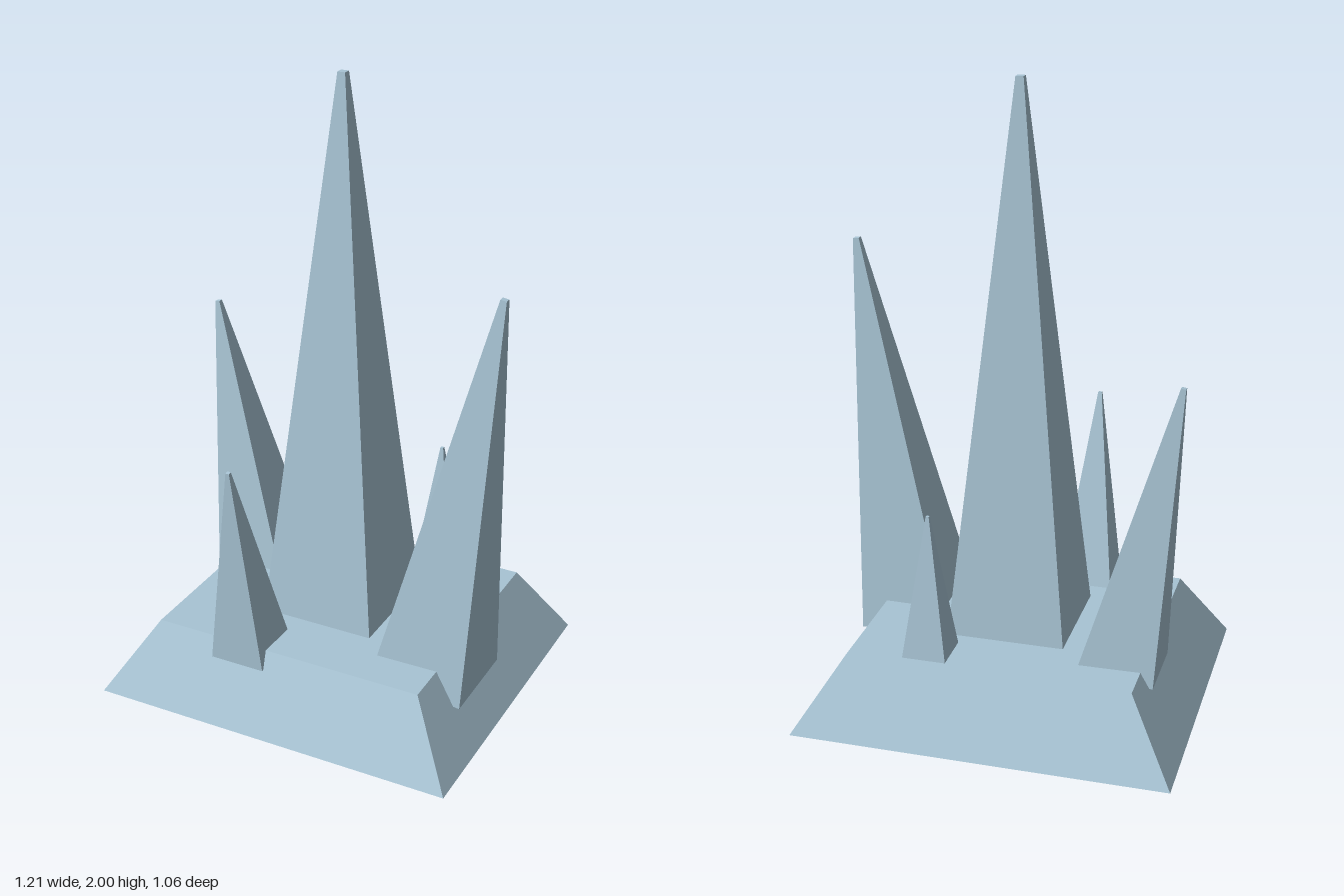
import * as THREE from 'three';

// Square frustum standing on y = 0, sides parallel to x and z, faceted normals
function frustum(topHalf, bottomHalf, height) {
  const g = new THREE.CylinderGeometry(topHalf * Math.SQRT2, bottomHalf * Math.SQRT2, height, 4)
    .rotateY(Math.PI / 4)
    .translate(0, height / 2, 0)
    .toNonIndexed();
  g.computeVertexNormals();
  return g;
}

export function createModel() {
  const group = new THREE.Group();
  const ice = new THREE.MeshStandardMaterial({ color: 0xa8c4d4 });
  ice.name = 'paleIce';

  const add = (name, geometry) => {
    const mesh = new THREE.Mesh(geometry, ice);
    mesh.name = name;
    group.add(mesh);
    return mesh;
  };

  // Sloped rectangular plinth
  add('base', frustum(0.753, 1, 0.24).scale(0.605, 1, 0.53));

  // Spikes: foot centre, tip centre, half width at foot and at tip
  const spikes = [
    ['mainSpike', [0, 0.2, 0], [0, 2, 0], 0.194, 0.0125],
    ['leftSpike', [0.389, 0.156, 0.12], [0.573, 1.441, 0.12], 0.152, 0.01],
    ['rightSpike', [-0.377, 0.211, -0.155], [-0.54, 1.136, -0.155], 0.121, 0.008],
    ['frontSpike', [-0.153, 0.2, 0.345], [-0.153, 0.872, 0.452], 0.091, 0.006],
    ['backSpike', [0.21, 0.2, -0.305], [0.21, 0.7, -0.305], 0.0755, 0.005],
  ];
  const up = new THREE.Vector3(0, 1, 0);
  for (const [name, foot, tip, footHalf, tipHalf] of spikes) {
    const start = new THREE.Vector3(...foot);
    const axis = new THREE.Vector3(...tip).sub(start);
    const spike = add(name, frustum(tipHalf, footHalf, axis.length()));
    spike.position.copy(start);
    spike.quaternion.setFromUnitVectors(up, axis.normalize());
  }
  return group;
}
